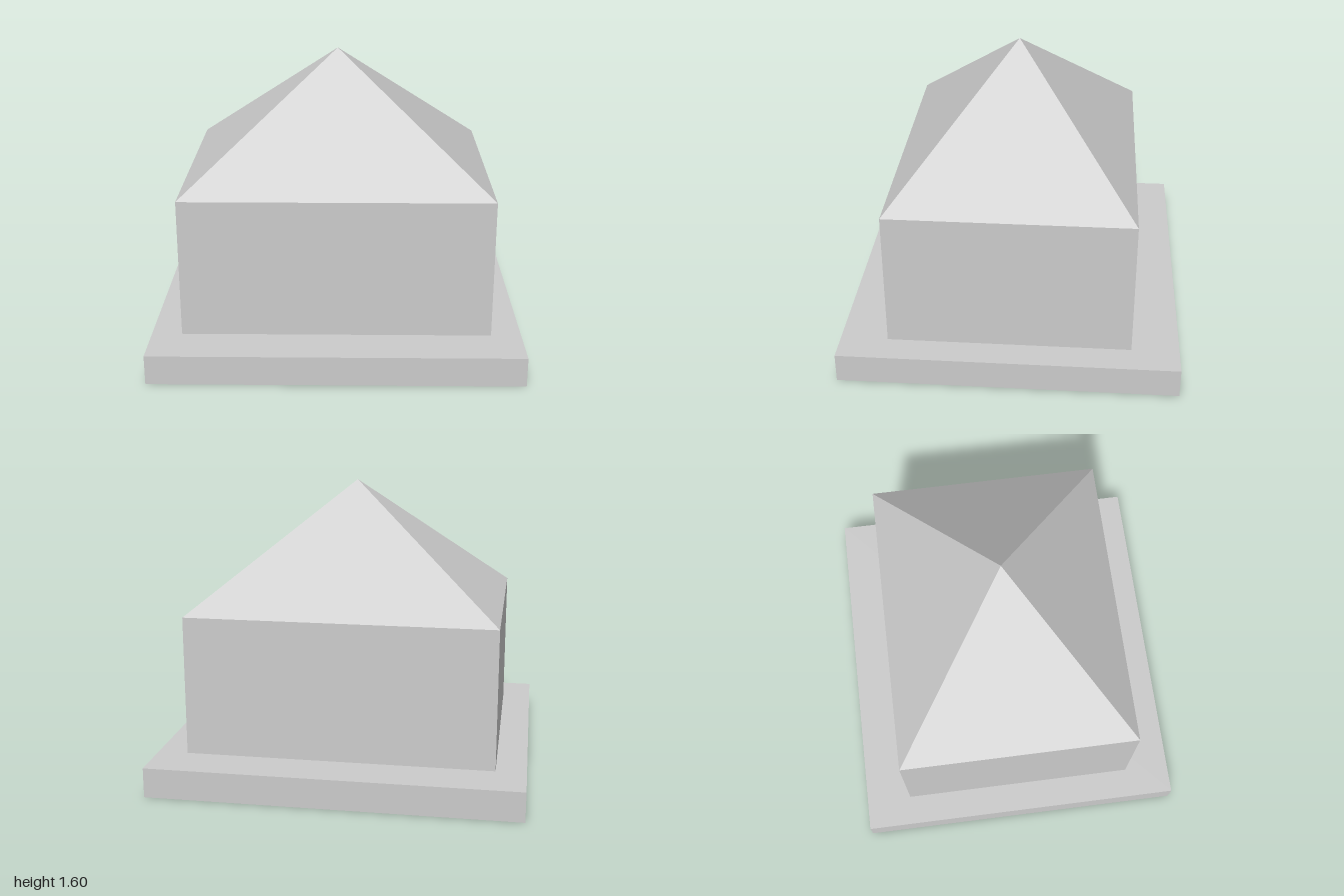
import * as THREE from 'three';

const BASE_TOP = 0.163, WALL_TOP = 0.925, APEX = 1.6;
const WALL_X = 0.837, WALL_Z = 0.66;

export function createModel() {
  const model = new THREE.Group();
  model.name = 'pavilion';
  const material = new THREE.MeshStandardMaterial({ color: 0xcccccc, flatShading: true });

  const add = (name, geometry, y) => {
    const mesh = new THREE.Mesh(geometry, material);
    mesh.name = name;
    mesh.position.y = y;
    model.add(mesh);
  };

  // Wide low plinth
  add('plinth', new THREE.BoxGeometry(2, BASE_TOP, 1.834), BASE_TOP / 2);

  // Plain walls
  const wallHeight = WALL_TOP - BASE_TOP;
  add('walls', new THREE.BoxGeometry(WALL_X * 2, wallHeight, WALL_Z * 2), BASE_TOP + wallHeight / 2);

  // Pyramid roof: four-sided cone turned square, then stretched to the walls
  const roofHeight = APEX - WALL_TOP;
  const roof = new THREE.ConeGeometry(Math.SQRT2, roofHeight, 4, 1, true);
  roof.rotateY(Math.PI / 4).scale(WALL_X, 1, WALL_Z);
  add('roof', roof, WALL_TOP + roofHeight / 2);

  return model;
}
